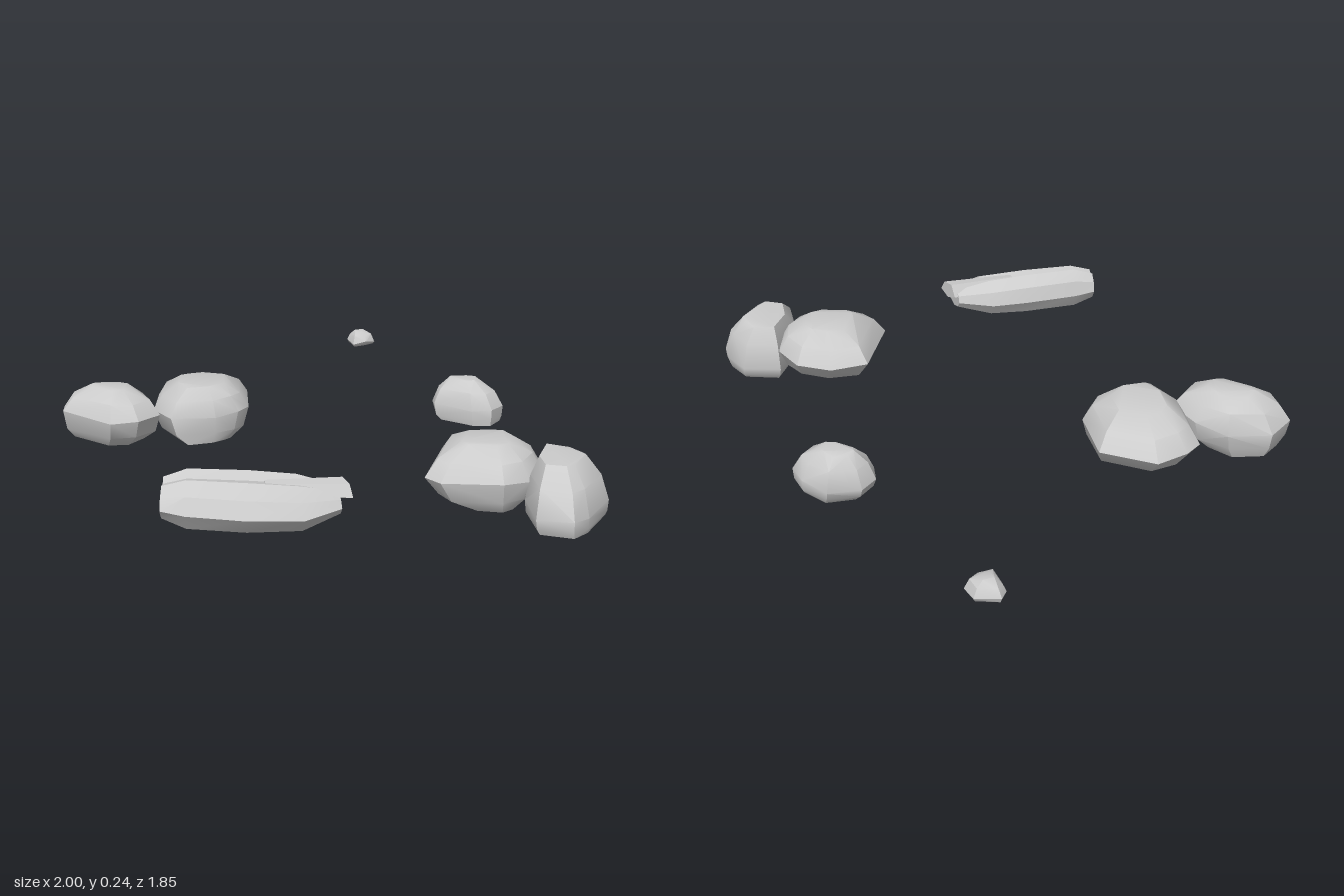
import * as THREE from 'three';
import { ConvexGeometry } from 'three/addons/geometries/ConvexGeometry.js';
import { toCreasedNormals } from 'three/addons/utils/BufferGeometryUtils.js';

const stone = new THREE.MeshStandardMaterial({ color: 0xcccccc, side: THREE.DoubleSide });

// Repeatable noise in -1..1 that keeps the facets irregular
function makeNoise(seed) {
  let s = seed;
  return () => {
    s = (s * 16807) % 2147483647;
    return (s / 2147483647) * 2 - 1;
  };
}

// A boulder: its plan outline is fullest at the waist height and shrinks, with a shift,
// towards the base and the crown, each given as [scale, shiftX, shiftZ].
function boulder(name, outline, { low, high, waist, base, crown }) {
  const noise = makeNoise(4321);
  const box = new THREE.Box2().setFromPoints(outline.map(([x, z]) => new THREE.Vector2(x, z)));
  const centre = box.getCenter(new THREE.Vector2());
  const points = [];
  const ring = (y, [scale, dx, dz], amount, jitter) => {
    const k = 1 + (scale - 1) * amount;
    for (const [x, z] of outline) {
      points.push(new THREE.Vector3(
        centre.x + (x - centre.x) * k + dx * amount,
        y + noise() * jitter,
        centre.y + (z - centre.y) * k + dz * amount));
    }
  };
  const middle = low + (high - low) * waist;
  ring(low, base, 1, 0.003);
  ring(THREE.MathUtils.lerp(middle, low, 0.6), base, 0.3, 0.006);
  ring(middle, base, 0, 0.008);
  ring(THREE.MathUtils.lerp(middle, high, 0.6), crown, 0.35, 0.006);
  ring(high, crown, 1, 0.006);
  const mesh = new THREE.Mesh(toCreasedNormals(new ConvexGeometry(points), 0.55), stone);
  mesh.name = name;
  return mesh;
}

// Lofts a closed section [across, height] along stations [leftX, leftZ, rightX, rightZ, low, high]
function loft(name, section, stations) {
  const n = section.length;
  const pos = [];
  const index = [];
  for (const [lx, lz, rx, rz, low, high] of stations) {
    for (const [t, h] of section) {
      pos.push(lx + (rx - lx) * t, low + (high - low) * h, lz + (rz - lz) * t);
    }
  }
  for (let s = 0; s < stations.length - 1; s++) {
    for (let i = 0; i < n; i++) {
      const a = s * n + i;
      const b = s * n + (i + 1) % n;
      index.push(a, a + n, b, b, a + n, b + n);
    }
  }
  // End caps
  const last = (stations.length - 1) * n;
  const cap = THREE.ShapeUtils.triangulateShape(section.map(([t, h]) => new THREE.Vector2(t, h)), []);
  for (const [a, b, c] of cap) index.push(a, b, c, last + a, last + c, last + b);
  const geometry = new THREE.BufferGeometry();
  geometry.setAttribute('position', new THREE.Float32BufferAttribute(pos, 3));
  geometry.setIndex(index);
  const mesh = new THREE.Mesh(toCreasedNormals(geometry, 0.45), stone);
  mesh.name = name;
  return mesh;
}

export function createModel() {
  const group = new THREE.Group();
  group.name = 'scatteredStones';

  // Left pair
  group.add(boulder('leftFrontStone',
    [[-1, 0.47], [-0.9, 0.35], [-0.77, 0.335], [-0.64, 0.37], [-0.615, 0.48], [-0.67, 0.57], [-0.91, 0.64], [-0.99, 0.59]],
    { low: 0.01, high: 0.217, waist: 0.5, base: [0.72, -0.025, 0], crown: [0.4, 0, -0.01] }));
  group.add(boulder('leftLargeStone',
    [[-0.67, 0.06 - 0.12], [-0.49, 0.06], [-0.46, 0.13], [-0.465, 0.23], [-0.545, 0.38], [-0.7, 0.36], [-0.87, 0.23], [-0.885, 0.14], [-0.85, 0.03]],
    { low: 0.02, high: 0.225, waist: 0.5, base: [0.55, 0.08, 0.04], crown: [0.48, 0.03, 0.015] }));

  // Right pair
  group.add(boulder('rightLargeStone',
    [[0.51, -0.4], [0.64, -0.38], [0.72, -0.31], [0.76, -0.21], [0.74, -0.11], [0.58, 0.03], [0.5, 0.03], [0.33, -0.21], [0.4, -0.33]],
    { low: 0.02, high: 0.232, waist: 0.5, base: [0.4, 0.085, 0.015], crown: [0.45, 0.01, -0.015] }));
  group.add(boulder('rightRearStone',
    [[0.75, -0.47], [0.86, -0.46], [0.92, -0.43], [0.995, -0.25], [0.995, -0.18], [0.89, -0.11], [0.75, -0.2], [0.64, -0.38]],
    { low: 0.004, high: 0.21, waist: 0.25, base: [0.9, 0.01, 0], crown: [0.55, -0.03, -0.02] }));

  // Small loose stones at the back
  group.add(boulder('rearStone',
    [[-0.22, -0.72], [-0.16, -0.82], [-0.05, -0.835], [0.03, -0.81], [0.05, -0.73], [0, -0.67], [-0.16, -0.615], [-0.21, -0.65]],
    { low: 0.024, high: 0.188, waist: 0.35, base: [0.85, 0.015, 0], crown: [0.4, -0.02, 0] }));
  group.add(boulder('pebble',
    [[-1, -0.87], [-0.94, -0.925], [-0.88, -0.905], [-0.87, -0.85], [-0.9, -0.8], [-0.98, -0.83]],
    { low: 0.123, high: 0.182, waist: 0.35, base: [0.65, 0, 0], crown: [0.35, 0, 0] }));

  // Long slab with shallow grooves on top, and a raised splinter at its back end
  const slab = new THREE.Group();
  slab.name = 'longSlab';
  slab.add(loft('slabBody',
    [[0, 0.5], [0.07, 0.82], [0.28, 1], [0.4, 0.86], [0.6, 0.92], [0.86, 0.72], [1, 0.42], [0.82, 0.1], [0.5, 0], [0.14, 0.2]],
    [
      [0.105, 0.81, 0.25, 0.925, 0.1, 0.215],
      [0.14, 0.74, 0.31, 0.87, 0.06, 0.24],
      [0.25, 0.57, 0.44, 0.73, 0.05, 0.23],
      [0.33, 0.46, 0.55, 0.58, 0.055, 0.215],
      [0.44, 0.375, 0.565, 0.44, 0.1, 0.18],
    ]));
  slab.add(loft('slabSplinter',
    [[0, 0.3], [0.25, 1], [0.75, 0.9], [1, 0.3], [0.5, 0]],
    [
      [0.35, 0.59, 0.4, 0.62, 0.17, 0.21],
      [0.46, 0.37, 0.565, 0.395, 0.14, 0.205],
    ]));
  group.add(slab);
  return group;
}
